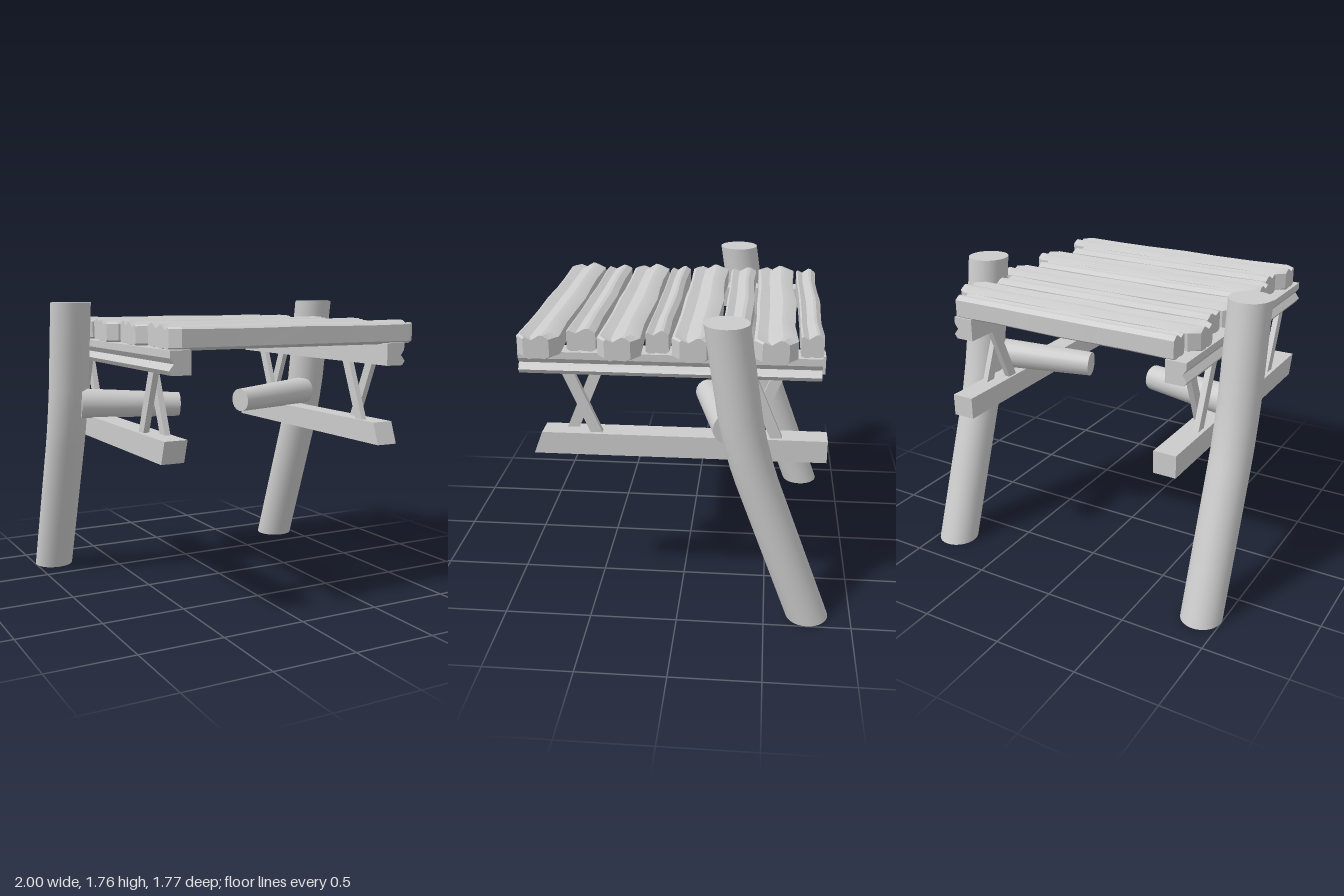
import * as THREE from 'three';
import { toCreasedNormals } from 'three/addons/utils/BufferGeometryUtils.js';

const material = new THREE.MeshStandardMaterial({ color: 0xcccccc });

function addMesh(parent, name, geometry) {
  const mesh = new THREE.Mesh(geometry, material);
  mesh.name = name;
  parent.add(mesh);
  return mesh;
}

// Skins equal-length rings of [x, y, z] points and caps both ends
function loft(rings, crease = 0.6) {
  const n = rings[0].length, m = rings.length;
  const all = rings.map((r) => r.map((p) => new THREE.Vector3(...p)));
  const centre = (r) => r.reduce((s, p) => s.add(p), new THREE.Vector3()).divideScalar(n);
  const tris = [];
  const first = centre(all[0]), last = centre(all[m - 1]);
  for (let j = 0; j < n; j++) {
    const k = (j + 1) % n;
    for (let i = 0; i < m - 1; i++) {
      const a = all[i][j], b = all[i][k], c = all[i + 1][k], d = all[i + 1][j];
      tris.push([a, b, c], [a, c, d]);
    }
    tris.push([first, all[0][k], all[0][j]], [last, all[m - 1][j], all[m - 1][k]]);
  }
  // Turn the faces outward
  const volume = tris.reduce((s, [a, b, c]) => s + a.dot(b.clone().cross(c)), 0);
  const points = tris.flatMap(([a, b, c]) => (volume < 0 ? [a, c, b] : [a, b, c]));
  const geometry = new THREE.BufferGeometry().setFromPoints(points);
  return toCreasedNormals(geometry, crease);
}

// Bent post made of level circles along a path of [y, z]
function post(side) {
  const path = [[0, -0.75], [0.86, -0.437], [0.95, -0.408], [1.1, -0.368], [1.23, -0.34], [1.76, -0.26]];
  const rings = path.map(([y, z]) => Array.from({ length: 28 }, (_, i) => {
    const a = (i / 28) * Math.PI * 2;
    return [side * 0.878 + 0.122 * Math.cos(a), y, z + 0.122 * Math.sin(a)];
  }));
  return loft(rings);
}

// Uneven plank along x; section is [across, height], across running from front to back
const section = [
  [1, 1.54], [1, 1.635], [0.85, 1.645], [0.35, 1.63], [-0.3, 1.657], [-0.55, 1.655], [-1, 1.635],
  [-1, 1.54], [-0.6, 1.525], [0.1, 1.535], [0.6, 1.522],
];
function plank(x0, x1, z0, z1, tapered) {
  const mid = (z0 + z1) / 2, half = (z1 - z0) / 2;
  // [position along, width factor, sideways shift]
  const stations = [
    [0.035, 1, 0], [0.2, 0.92, 0.004], [0.35, 0.93, 0], [0.5, 1, -0.004],
    [0.68, 0.94, 0], [0.8, 0.93, 0.004], [0.965, 1, 0],
  ];
  const tip = tapered ? 0.6 : 0.97;
  stations.unshift([0, tip, 0]);
  stations.push([1, tip, 0]);
  return loft(stations.map(([t, w, shift]) => section.map(([u, y]) =>
    [x0 + (x1 - x0) * t, y + (w - 0.96) * 0.05 * (y > 1.6 && w > 0.9 ? 1 : 0), mid + shift + u * half * w])), 0.35);
}

// Beam between two points with a rectangular section
function bar(from, to, width, depth) {
  const a = new THREE.Vector3(...from), b = new THREE.Vector3(...to);
  const geometry = new THREE.BoxGeometry(width, a.distanceTo(b), depth);
  const turn = new THREE.Quaternion().setFromUnitVectors(new THREE.Vector3(0, 1, 0), b.clone().sub(a).normalize());
  geometry.applyQuaternion(turn);
  const c = a.add(b).multiplyScalar(0.5);
  return geometry.translate(c.x, c.y, c.z);
}

// Rounded log between two points, tapering from r0 to r1
function log(from, to, r0, r1) {
  const a = new THREE.Vector3(...from), b = new THREE.Vector3(...to);
  const geometry = new THREE.CylinderGeometry(r1, r0, a.distanceTo(b), 20);
  geometry.applyQuaternion(new THREE.Quaternion().setFromUnitVectors(
    new THREE.Vector3(0, 1, 0), b.clone().sub(a).normalize()));
  const c = a.add(b).multiplyScalar(0.5);
  return geometry.translate(c.x, c.y, c.z);
}

export function createModel() {
  const model = new THREE.Group();
  model.name = 'woodenPlatform';

  // Planks of the deck, back to front
  const deck = new THREE.Group();
  deck.name = 'deck';
  model.add(deck);
  const planks = [
    [-0.68, 0.73, -0.775, -0.65, false], [-0.745, 0.84, -0.635, -0.4, true],
    [-0.685, 0.73, -0.385, -0.22, false], [-0.745, 0.84, -0.2, 0.035, true],
    [-0.685, 0.73, 0.055, 0.185, false], [-0.73, 0.858, 0.2, 0.433, true],
    [-0.685, 0.725, 0.453, 0.618, false], [-0.73, 0.858, 0.635, 0.868, true],
  ];
  for (const p of planks) addMesh(deck, p[4] ? 'widePlank' : 'narrowPlank', plank(...p));

  for (const side of [-1, 1]) {
    const half = new THREE.Group();
    half.name = side > 0 ? 'leftSupport' : 'rightSupport';
    model.add(half);

    addMesh(half, 'post', post(side));

    // Upper rail with a groove in its outer face
    const profile = [[0.63, 1.4], [0.63, 1.53], [0.752, 1.53], [0.752, 1.49], [0.73, 1.46], [0.758, 1.425], [0.74, 1.4]];
    addMesh(half, 'upperRail', loft([0.885, -0.77].map((z) => profile.map(([x, y]) => [side * x, y, z])), 0.2));

    // Lower rail with a slanted front end
    const [top, bottom, back] = side > 0 ? [0.775, 0.825, -0.82] : [0.83, 0.785, -0.885];
    const outline = [[top, 1.055], [bottom, 0.925], [back, 0.925], [back, 1.055]];
    addMesh(half, 'lowerRail', loft([0.628, 0.762].map((x) => outline.map(([z, y]) => [side * x, y, z])), 0.2));

    // Crossed braces between the rails
    for (const z of [0.54, -0.465]) {
      for (const [x, lean] of [[0.722, 1], [0.658, -1]]) {
        addMesh(half, 'crossBrace', bar(
          [side * x, 1.01, z - lean * 0.09], [side * x, 1.44, z + lean * 0.09], 0.034, 0.062));
      }
    }

    // Log reaching inward from the post
    addMesh(half, 'innerLog', log([side * 0.82, 1.14, -0.28], [side * 0.225, 1.118, -0.125], 0.092, 0.075));
  }
  return model;
}
